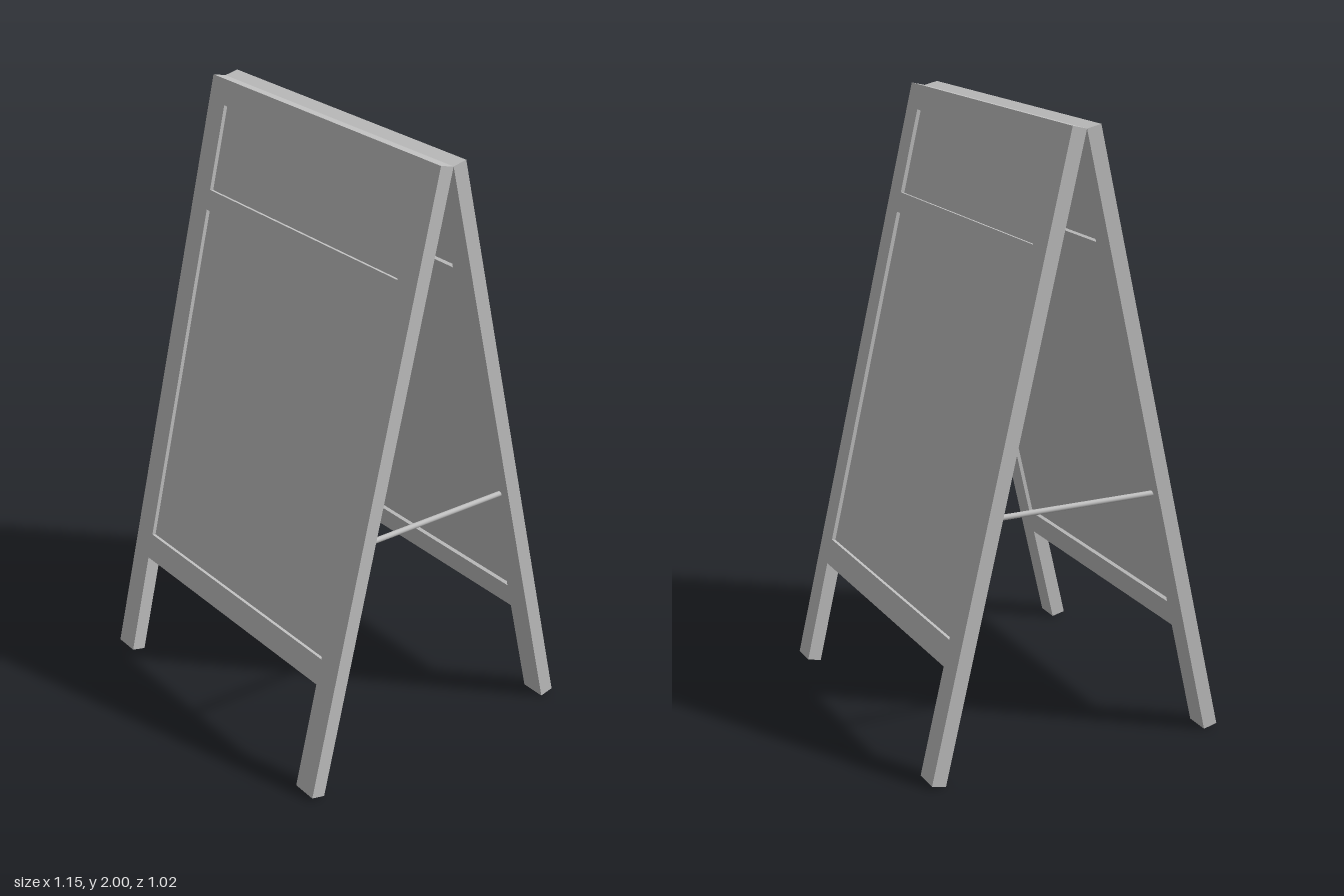
import * as THREE from 'three';

const HINGE_Y = 1.989;               // inner top edge where both boards meet
const SPREAD = 0.463;                // inner foot distance from the centre
const TILT = Math.atan2(SPREAD, HINGE_Y);
const LENGTH = Math.hypot(SPREAD, HINGE_Y);
const THICK = 0.048, HALF = 0.577, INNER = 0.491, RECESS = 0.013;
const PANELS = [
  { name: 'headerPanel', top: -0.082, bottom: -0.364 },
  { name: 'displayPanel', top: -0.431, bottom: -1.597 },
];

export function createModel() {
  const grey = new THREE.MeshStandardMaterial({ color: 0xbfbfbf });
  grey.name = 'light grey';
  const model = new THREE.Group();
  model.name = 'sandwichBoard';

  // Frame outline with two legs and one opening per panel
  const outline = new THREE.Shape([
    [-HALF, 0], [-HALF, -LENGTH], [-INNER, -LENGTH], [-INNER, -1.684],
    [INNER, -1.684], [INNER, -LENGTH], [HALF, -LENGTH], [HALF, 0],
  ].map(([x, y]) => new THREE.Vector2(x, y)));
  for (const { top, bottom } of PANELS) {
    outline.holes.push(new THREE.Path([
      [-INNER, top], [INNER, top], [INNER, bottom], [-INNER, bottom],
    ].map(([x, y]) => new THREE.Vector2(x, y))));
  }
  const frameGeo = new THREE.ExtrudeGeometry(outline, { depth: THICK, bevelEnabled: false });

  // One leaning board: frame plus recessed panels
  function addBoard(name, turn) {
    const side = new THREE.Group();
    side.name = name;
    side.rotation.y = turn;
    const board = new THREE.Group();
    board.position.y = HINGE_Y;
    board.rotation.x = -TILT;
    const frame = new THREE.Mesh(frameGeo, grey);
    frame.name = 'frame';
    board.add(frame);
    for (const { name: panelName, top, bottom } of PANELS) {
      const panel = new THREE.Mesh(
        new THREE.BoxGeometry(INNER * 2, top - bottom, THICK - RECESS * 2), grey);
      panel.name = panelName;
      panel.position.set(0, (top + bottom) / 2, THICK / 2);
      board.add(panel);
    }
    side.add(board);
    model.add(side);
  }
  addBoard('frontBoard', 0);
  addBoard('backBoard', Math.PI);

  // Spreader rods between the legs
  for (const s of [-1, 1]) {
    const rod = new THREE.Mesh(new THREE.CylinderGeometry(0.009, 0.009, 0.56, 16), grey);
    rod.name = s > 0 ? 'leftSpreaderRod' : 'rightSpreaderRod';
    rod.rotation.x = Math.PI / 2;
    rod.position.set(s * 0.534, 0.828, 0);
    model.add(rod);
  }
  return model;
}
